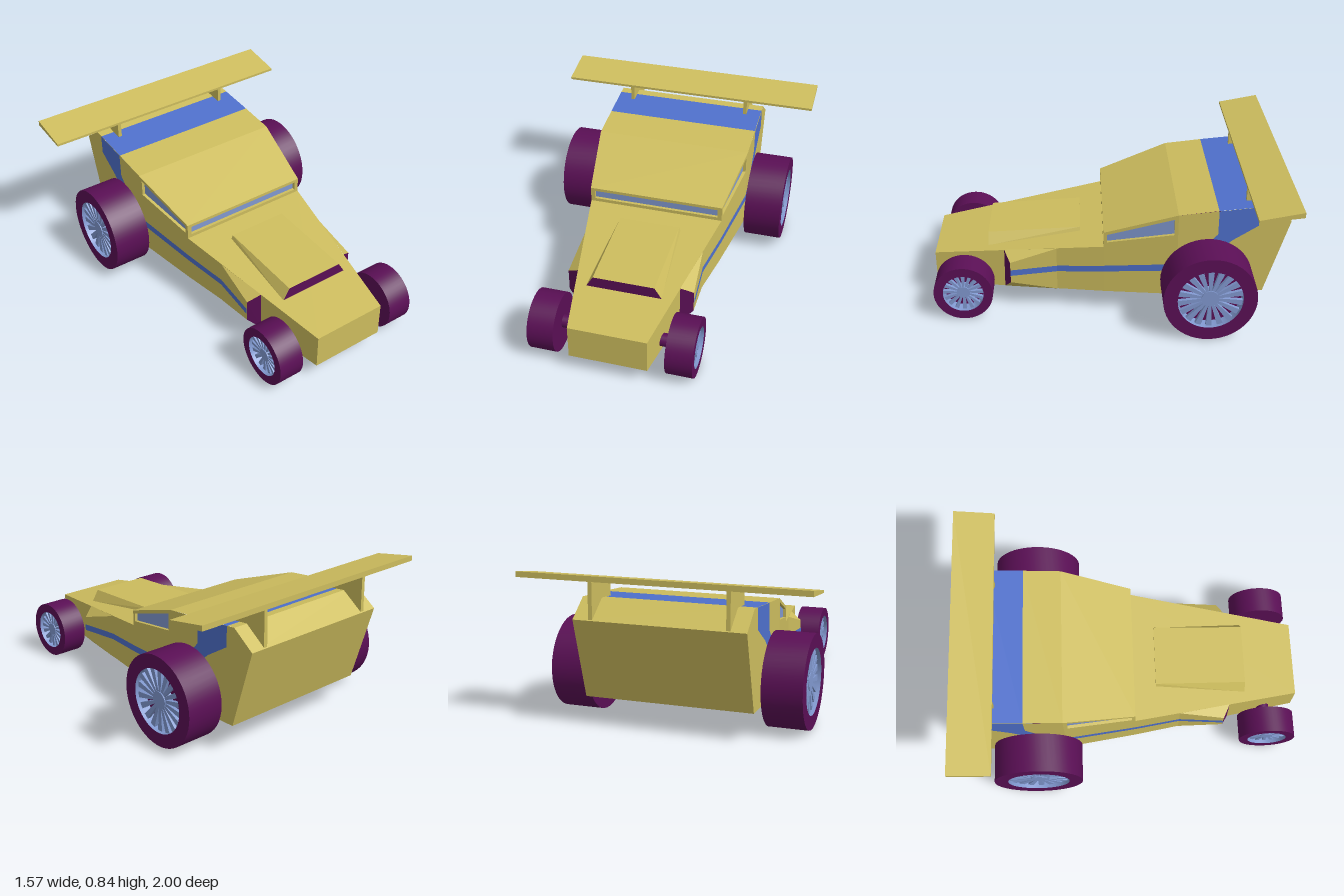
import * as THREE from 'three';
import { toCreasedNormals } from 'three/addons/utils/BufferGeometryUtils.js';

const mat = (name, color) => Object.assign(new THREE.MeshStandardMaterial({ color }), { name });

export function createModel() {
  const model = new THREE.Group();
  model.name = 'racingBuggy';
  const yellow = mat('yellow paint', 0xcdbd5e);
  const blue = mat('blue paint', 0x4f70cc);
  const pale = mat('pale blue glass and rims', 0x8199d0);
  const purple = mat('purple rubber', 0x5a0f55);

  const add = (name, geo, material, parent = model) => {
    const mesh = new THREE.Mesh(geo, material);
    mesh.name = name;
    parent.add(mesh);
    return mesh;
  };

  // Flat-sided geometry from polygons, corners counter-clockwise from outside
  const poly = (faces) => {
    const out = [];
    for (const f of faces)
      for (let i = 1; i < f.length - 1; i++) out.push(...f[0], ...f[i], ...f[i + 1]);
    const geo = new THREE.BufferGeometry();
    geo.setAttribute('position', new THREE.Float32BufferAttribute(out, 3));
    geo.computeVertexNormals();
    return geo;
  };

  // Copy reflected to the other side, with its corner order put right
  const mirror = (geo) => {
    const g = geo.clone().scale(-1, 1, 1);
    const p = g.attributes.position;
    const a = new THREE.Vector3(), b = new THREE.Vector3();
    for (let i = 0; i < p.count; i += 3) {
      a.fromBufferAttribute(p, i + 1);
      b.fromBufferAttribute(p, i + 2);
      p.setXYZ(i + 1, b.x, b.y, b.z);
      p.setXYZ(i + 2, a.x, a.y, a.z);
    }
    g.computeVertexNormals();
    return g;
  };
  const addPair = (name, geo, material) => {
    add(name + 'Left', geo, material);
    add(name + 'Right', mirror(geo), material);
  };

  // Flat outline with optional hole, placed in space by a rule
  const panel = (pts, hole, place) => {
    const v2 = (list) => list.map(([u, v]) => new THREE.Vector2(u, v));
    const shape = new THREE.Shape(v2(pts));
    if (hole) shape.holes.push(new THREE.Path(v2(hole)));
    const geo = new THREE.ShapeGeometry(shape).toNonIndexed();
    const p = geo.attributes.position;
    for (let i = 0; i < p.count; i++) p.setXYZ(i, ...place(p.getX(i), p.getY(i)));
    geo.computeVertexNormals();
    return geo;
  };
  // Walls of a window recess; the hole runs counter-clockwise
  const recess = (hole, outer, inner) => poly(hole.map((a, i) => {
    const b = hole[(i + 1) % hole.length];
    return [outer(...a), outer(...b), inner(...b), inner(...a)];
  }));

  // Half-width of the body along its length
  const { lerp } = THREE.MathUtils;
  const width = (z) => z > 0.03 ? lerp(0.40, 0.22, (z - 0.03) / 0.97)
    : z > -0.38 ? lerp(0.465, 0.40, (z + 0.38) / 0.41) : 0.465;
  const podWidth = (z) => lerp(0.351, 0.365, (z - 0.295) / 0.265);
  const onSide = (offset = 0, w = width) => (u, y) => [w(-u) + offset, y, -u];
  const flip = (pts) => pts.map(([z, y]) => [-z, y]);

  // Body skin wrapped round the side profile (z, y), front up and over
  const strip = (pts) => poly(pts.slice(1).map(([z1, y1], i) => {
    const [z0, y0] = pts[i], a = width(z0), b = width(z1);
    return [[-a, y0, z0], [a, y0, z0], [b, y1, z1], [-b, y1, z1]];
  }));
  add('noseAndHood', strip([[1, 0.10], [1, 0.30], [0.03, 0.43]]), yellow);
  add('roof', strip([[0.03, 0.52], [-0.38, 0.66], [-0.60, 0.684]]), yellow);
  add('roofBand', strip([[-0.60, 0.684], [-0.82, 0.705]]), blue);
  add('tailAndFloor', strip([[-0.82, 0.705], [-0.87, 0.71], [-1, 0.615], [-0.87, 0.165],
    [-0.38, 0.148], [0.03, 0.134], [1, 0.10]]), yellow);

  // Windscreen set into the cabin front
  const screen = [[-0.375, 0.45], [0.375, 0.45], [0.375, 0.502], [-0.375, 0.502]];
  const front = (x, y) => [x, y, 0.03], frontIn = (x, y) => [x, y, 0.012];
  add('cabinFront', panel([[-0.4, 0.43], [0.4, 0.43], [0.4, 0.52], [-0.4, 0.52]], screen, front), yellow);
  add('windscreenFrame', recess(screen, front, frontIn), yellow);
  add('windscreen', panel(screen, null, frontIn), pale);

  // Body sides and side windows
  const sideWindow = flip([[0.01, 0.46], [-0.36, 0.535], [-0.36, 0.632], [0.01, 0.508]]);
  addPair('hoodSide', panel(flip([[1, 0.10], [0.03, 0.134], [0.03, 0.43], [1, 0.30]]), null, onSide()), yellow);
  addPair('cabinSide', panel(flip([[0.03, 0.134], [-0.38, 0.148], [-0.38, 0.66], [0.03, 0.52]]),
    sideWindow, onSide()), yellow);
  addPair('rearSide', panel(flip([[-0.38, 0.148], [-0.87, 0.165], [-1, 0.615], [-0.87, 0.71],
    [-0.38, 0.66]]), null, onSide()), yellow);
  addPair('sideWindowFrame', recess(sideWindow, onSide(), onSide(-0.018)), yellow);
  addPair('sideWindow', panel(sideWindow, null, onSide(-0.018)), pale);

  // Side pods with dark intakes
  const it = [0.295, 0.356, 0.595], ot = [0.365, 0.31, 0.56], ob = [0.365, 0.18, 0.56];
  const ib = [0.295, 0.113, 0.6], rt = [0.351, 0.392, 0.295], rb = [0.351, 0.123, 0.295];
  addPair('sidePod', poly([[ob, rb, rt, ot], [it, ot, rt], [ib, rb, ob]]), yellow);
  addPair('podIntake', poly([[ib, ob, ot, it]]), purple);

  // Blue side stripe sweeping up to the roof band
  const stripe = (pts, w) => addPair('sideStripe', panel(flip(pts), null, onSide(0.003, w)), blue);
  stripe([[0.56, 0.225], [0.295, 0.243], [0.295, 0.28], [0.56, 0.262]], podWidth);
  stripe([[0.295, 0.243], [0.03, 0.268], [0.03, 0.306], [0.295, 0.28]]);
  stripe([[0.03, 0.268], [-0.38, 0.308], [-0.38, 0.35], [0.03, 0.306]]);
  stripe([[-0.38, 0.308], [-0.5, 0.33], [-0.68, 0.50], [-0.82, 0.59], [-0.82, 0.705],
    [-0.60, 0.684], [-0.60, 0.54], [-0.48, 0.40], [-0.38, 0.35]]);

  // Hood scoop
  const fb = [0.215, 0.34, 0.69], ft = [0.175, 0.407, 0.69];
  const kt = [0.178, 0.434, 0.16], kb = [0.187, 0.41, 0.16];
  const neg = ([x, y, z]) => [-x, y, z];
  add('scoopTop', poly([[neg(ft), ft, kt, neg(kt)], [kb, neg(kb), neg(kt), kt]]), yellow);
  addPair('scoopSide', poly([[fb, kb, kt, ft]]), yellow);
  add('scoopIntake', poly([[neg(fb), fb, ft, neg(ft)]]), purple);

  // Slab with a (z, y) outline, extruded across x
  const slab = (pts, x0, x1) => new THREE.ExtrudeGeometry(
    new THREE.Shape(flip(pts).map(([u, v]) => new THREE.Vector2(u, v))),
    { depth: x1 - x0, bevelEnabled: false }).rotateY(Math.PI / 2).translate(x0, 0, 0);
  add('rearWing', slab([[-0.755, 0.788], [-0.99, 0.815], [-0.99, 0.845], [-0.755, 0.802]], -0.785, 0.785), yellow);
  for (const x of [-0.368, 0.368])
    add('wingStrut', slab([[-0.76, 0.69], [-0.87, 0.70], [-0.995, 0.61], [-0.99, 0.82], [-0.76, 0.792]],
      x - 0.011, x + 0.011), yellow);

  // Wheels: tyre, hollow rim and tapered spokes, facing +x
  const lathe = (pts) => toCreasedNormals(new THREE.LatheGeometry(
    pts.map(([r, y]) => new THREE.Vector2(r, y)), 48).rotateZ(-Math.PI / 2), 0.6);
  const makeWheel = (name, R, h, rim, hub, spokes) => {
    const wheel = new THREE.Group();
    wheel.name = name;
    const floor = h - 0.07;
    add('tyre', lathe([[0, -h], [R, -h], [R, h], [rim, h]]), purple, wheel);
    add('rimBarrel', lathe([[rim, h], [rim, floor]]), pale, wheel);
    add('rimBack', lathe([[rim, floor], [0, floor]]), purple, wheel);
    add('hub', lathe([[hub, floor], [hub, h - 0.015], [0, h - 0.015]]), pale, wheel);
    const length = rim - hub * 0.8;
    const geo = new THREE.BoxGeometry(0.02, length, 1).translate(h - 0.03, rim - length / 2, 0);
    const p = geo.attributes.position;
    for (let i = 0; i < p.count; i++)
      p.setZ(i, p.getZ(i) * (p.getY(i) > rim - 0.01 ? rim * 0.19 : rim * 0.08));
    for (let i = 0; i < spokes; i++)
      add('spoke', geo, pale, wheel).rotation.x = (i / spokes) * Math.PI * 2;
    return wheel;
  };
  for (const side of [1, -1]) {
    const frontWheel = makeWheel('frontWheel', 0.167, 0.075, 0.115, 0.036, 16);
    frontWheel.position.set(side * 0.385, 0.168, 0.825);
    const rearWheel = makeWheel('rearWheel', 0.258, 0.11, 0.18, 0.048, 18);
    rearWheel.position.set(side * 0.59, 0.26, -0.545);
    for (const w of [frontWheel, rearWheel]) {
      if (side < 0) w.rotation.y = Math.PI;
      model.add(w);
    }
  }

  // Axles
  for (const [name, y, z, length] of [['frontAxle', 0.168, 0.815, 0.64], ['rearAxle', 0.26, -0.545, 0.98]])
    add(name, new THREE.CylinderGeometry(0.037, 0.037, length, 24).rotateZ(Math.PI / 2).translate(0, y, z), purple);

  return model;
}
